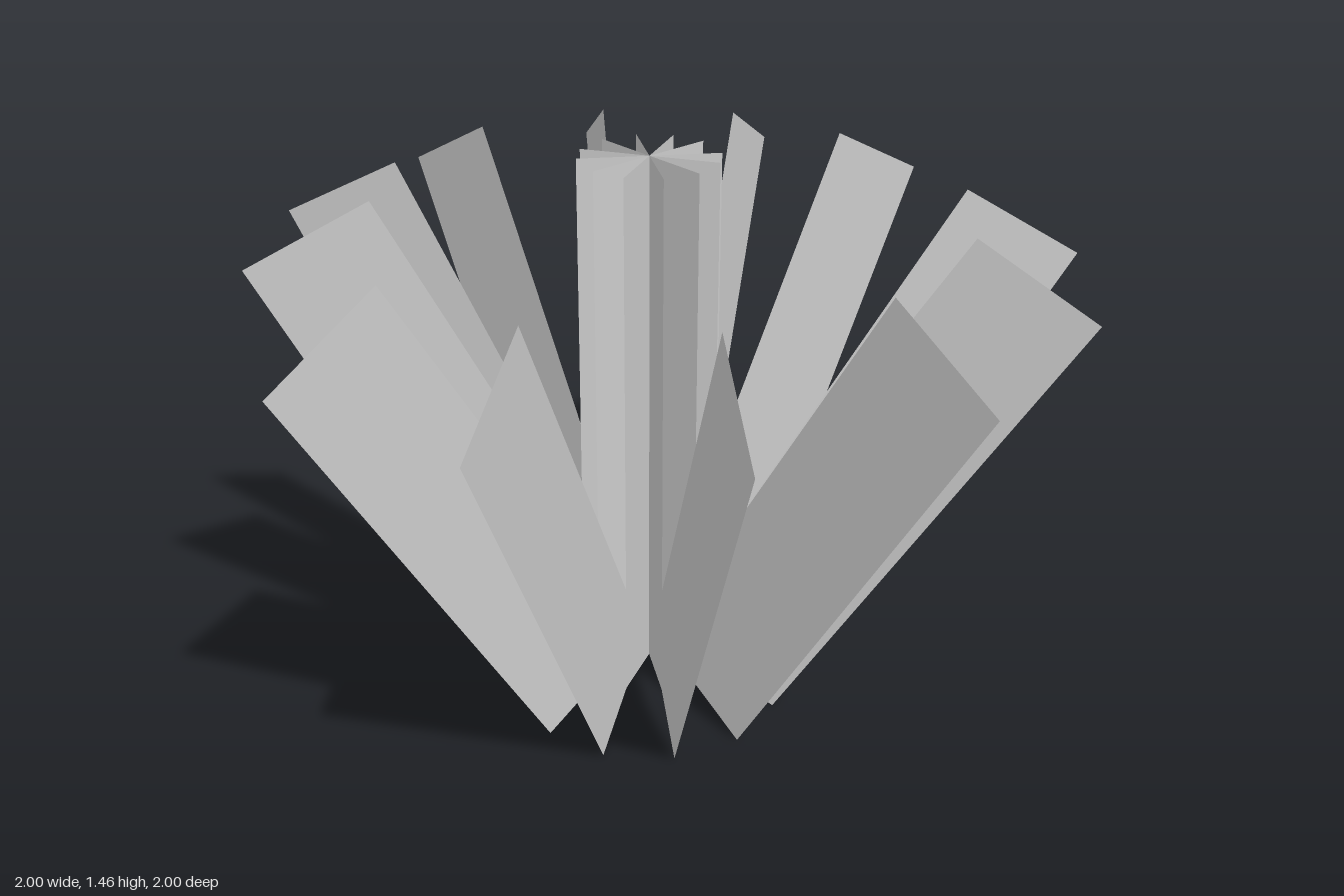
import * as THREE from 'three';

// Flat card outline: upright strip in the middle, a wide leaning leaf on the +x side
// and a steeper one on the -x side.
function cardGeometry() {
  const outline = [
    [0.17, 1.46], [0.17, 0.39], [0.763, 1.345], [1.053, 1.17], [0.338, 0], [0.17, 0.095],
    [-0.17, 0.09], [-0.307, 0.015], [-0.945, 1.225], [-0.645, 1.38], [-0.17, 0.485], [-0.17, 1.46],
  ];
  return new THREE.ShapeGeometry(new THREE.Shape(outline.map(([x, y]) => new THREE.Vector2(x, y))));
}

export function createModel() {
  const model = new THREE.Group();
  model.name = 'grassTuft';

  const material = new THREE.MeshStandardMaterial({ color: 0xcccccc, side: THREE.DoubleSide, flatShading: true });
  const geometry = cardGeometry();

  // Crossed cards fanned around one upright axis, wide leaves towards the front
  const tuft = new THREE.Group();
  tuft.name = 'crossedCards';
  tuft.position.set(0.053, 0, -0.055);
  [34.3, 59.3, 90.3, 120.9, 151.6, 180].forEach((angle, i) => {
    const card = new THREE.Mesh(geometry, material);
    card.name = `leafCard${i + 1}`;
    card.rotation.y = -THREE.MathUtils.degToRad(angle);
    tuft.add(card);
  });
  model.add(tuft);

  return model;
}
